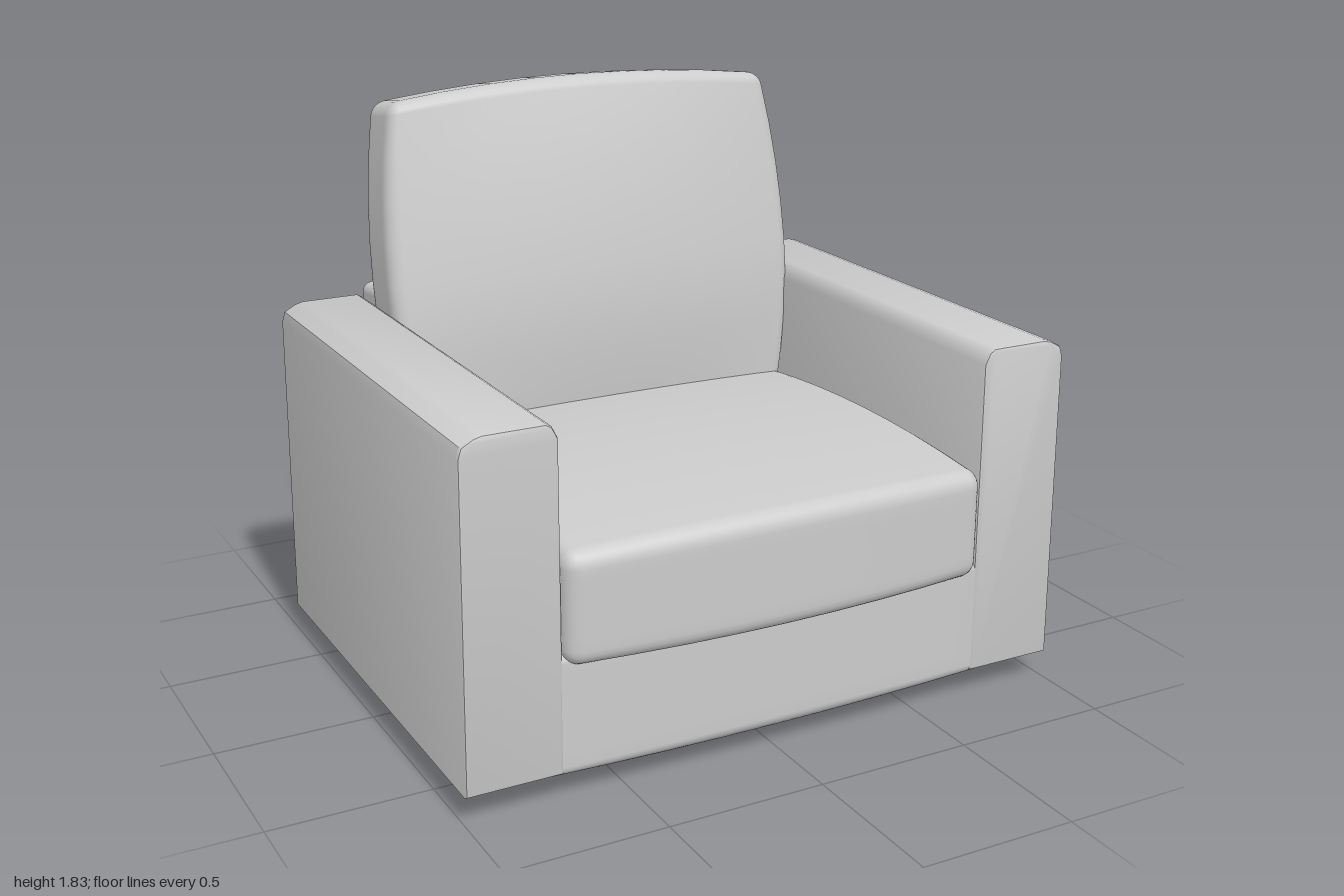
import * as THREE from 'three';
import { mergeVertices, toCreasedNormals } from 'three/addons/utils/BufferGeometryUtils.js';

const material = new THREE.MeshStandardMaterial({ color: 0xcccccc });
const N = 14, EDGE = 3; // grid cells per side, cells within the rounded edge

// Rounded box whose points are then moved by a rule.
// u, v, w are the positions relative to the half sizes (-1..1).
function pad(name, [hx, hy, hz], r, [cx, cy, cz], bend) {
  let geo = new THREE.BoxGeometry(2, 2, 2, N, N, N);
  geo.deleteAttribute('normal');
  geo.deleteAttribute('uv');
  geo = mergeVertices(geo);
  const pos = geo.attributes.position;
  const half = new THREE.Vector3(hx, hy, hz);
  const inner = half.clone().subScalar(r);
  const p = new THREE.Vector3(), core = new THREE.Vector3();
  const spread = (t, h) => {
    const d = (1 - Math.abs(t)) * N / 2; // cells away from the side
    const a = d <= EDGE ? h - r * d / EDGE : (h - r) * (N / 2 - d) / (N / 2 - EDGE);
    return Math.sign(t) * a;
  };
  for (let i = 0; i < pos.count; i++) {
    p.set(spread(pos.getX(i), hx), spread(pos.getY(i), hy), spread(pos.getZ(i), hz));
    core.copy(p).clamp(inner.clone().negate(), inner);
    p.sub(core).setLength(r).add(core);
    bend(p, p.x / hx, p.y / hy, p.z / hz);
    pos.setXYZ(i, p.x + cx, p.y + cy, p.z + cz);
  }
  geo.computeVertexNormals();
  const mesh = new THREE.Mesh(geo, material);
  mesh.name = name;
  return mesh;
}

// Armrest: softened upright slab extruded along z
function armrest(name, side) {
  const b = 0.012;
  const outline = [
    [0.70 + b, 0.09], [1.0 - b, 0.09], [0.993 - b, 1.08], [0.985 - b, 1.105],
    [0.955 - b, 1.122], [0.92, 1.14 - b], [0.74, 1.14 - b], [0.715 + b, 1.12], [0.70 + b, 1.09],
  ].map(([x, y]) => new THREE.Vector2(x * side, y === 0.09 ? y + b : y));
  const solid = new THREE.ExtrudeGeometry(new THREE.Shape(outline), {
    depth: 1.49 - 2 * b, bevelThickness: b, bevelSize: b, bevelSegments: 2,
  });
  solid.translate(0, 0, -0.74 + b);
  const mesh = new THREE.Mesh(toCreasedNormals(solid, 0.7), material);
  mesh.name = name;
  return mesh;
}

export function createModel() {
  const armchair = new THREE.Group();
  armchair.name = 'armchair';
  const dome = (t, k = 2) => Math.max(0, 1 - Math.abs(t) ** k);

  armchair.add(armrest('leftArmrest', 1), armrest('rightArmrest', -1));

  // Base with a sagging underside
  armchair.add(pad('seatBase', [0.76, 0.19, 0.57], 0.03, [0, 0.27, 0.175], (p, u, v, w) => {
    if (v < 0) p.y += v * 0.08 * dome(u, 2.5) * dome(w, 3);
    if (w > 0) p.z += 0.015 * w * dome(u);
  }));

  // Seat cushion, crowned on top and bowed at the front
  armchair.add(pad('seatCushion', [0.70, 0.17, 0.61], 0.05, [0, 0.59, 0.165], (p, u, v, w) => {
    if (v > 0) p.y += v * (0.018 * dome(u) + 0.037 * dome(w));
    else p.y += v * 0.008 * dome(u);
    if (w > 0) p.z += 0.035 * w * dome(u);
  }));

  // Outer back panel, leaning slightly
  armchair.add(pad('backPanel', [0.70, 0.55, 0.10], 0.03, [0, 0.62, -0.655], (p, u, v, w) => {
    p.z -= 0.085 * p.y;
    if (w < 0) p.z += w * 0.02 * dome(u);
    p.y += v * 0.03 * dome(u) + 0.1 * w * 0.1;
  }));

  // Back cushion, barrel-sided, bulging forward and leaning back
  armchair.add(pad('backCushion', [0.67, 0.56, 0.105], 0.04, [0, 1.22, -0.505], (p, u, v, w) => {
    p.x *= 1 + 0.085 * dome(v);
    if (w > 0) p.z += w * 0.06 * dome(u) * dome(v);
    const lean = p.y + 0.12;
    p.z -= 0.17 * Math.max(lean, lean * 0.4);
    p.y += v * 0.045 * dome(u) + 0.015 * w;
  }));

  return armchair;
}
